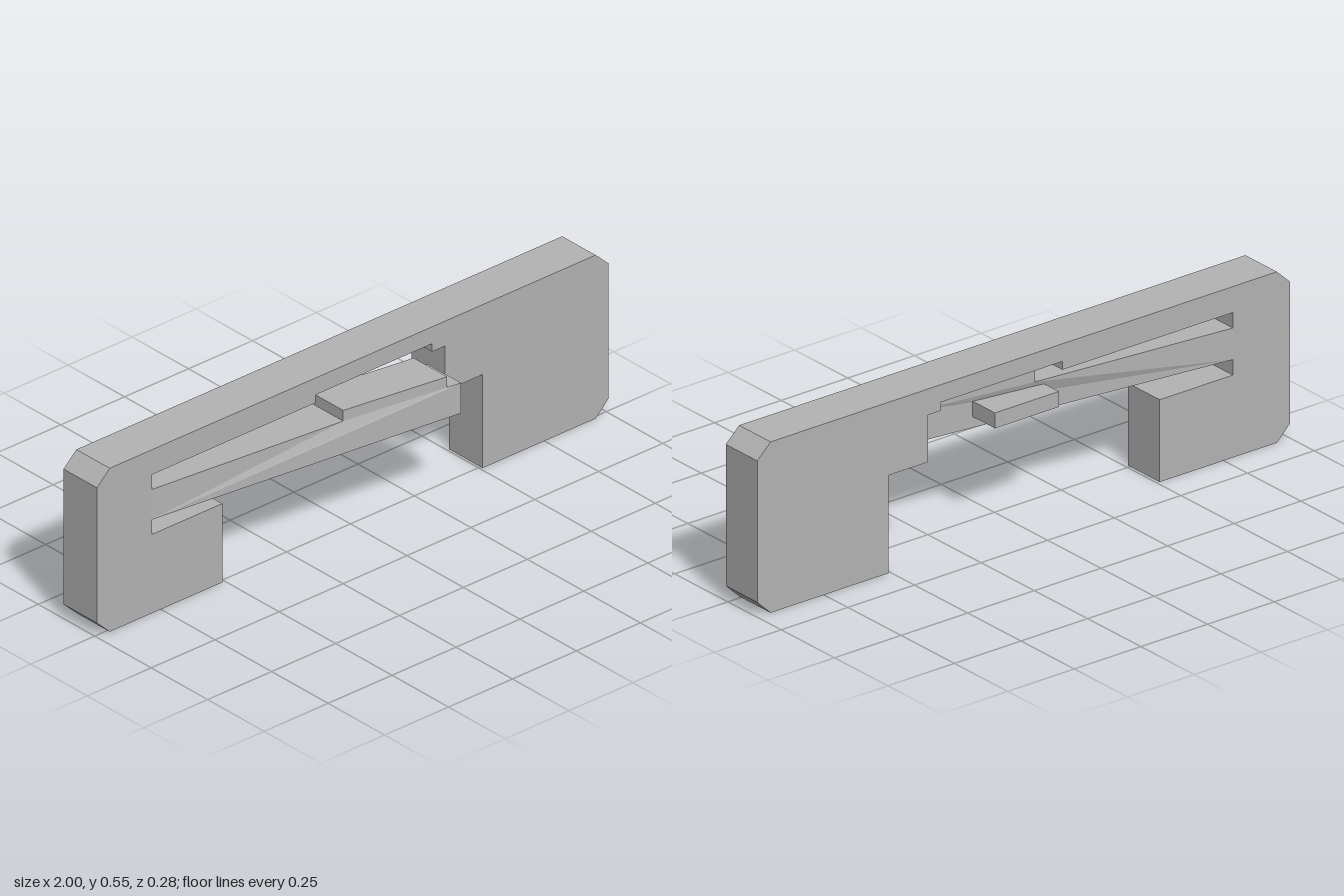
import * as THREE from 'three';

const BACK = -0.138, DEPTH = 0.148;

const plate = (points) => {
  const shape = new THREE.Shape(points.map(([x, y]) => new THREE.Vector2(x, y)));
  const geo = new THREE.ExtrudeGeometry(shape, { depth: DEPTH, bevelEnabled: false });
  return geo.translate(0, 0, BACK);
};

export function createModel() {
  const group = new THREE.Group();
  const grey = new THREE.MeshStandardMaterial({ color: 0xb3b3b3 });
  grey.name = 'plain grey';
  const add = (name, geo) => {
    const mesh = new THREE.Mesh(geo, grey);
    mesh.name = name;
    group.add(mesh);
    return mesh;
  };

  // Chamfered bridge frame with stepped slots around the lever
  add('frame', plate([
    [-0.95, 0], [-0.51, 0], [-0.51, 0.266], [-0.785, 0.266], [-0.785, 0.316],
    [-0.785, 0.418], [-0.785, 0.468], [-0.145, 0.468], [-0.145, 0.495],
    [0.31, 0.495], [0.31, 0.468], [0.36, 0.468], [0.36, 0.316], [0.508, 0.316],
    [0.508, 0], [0.95, 0], [1, 0.048], [1, 0.505], [0.95, 0.552],
    [-0.95, 0.552], [-1, 0.505], [-1, 0.048],
  ]));

  // Spring lever with a raised tab, bent forward towards its free end
  const lever = plate([
    [-0.785, 0.316], [0.31, 0.316], [0.31, 0.418], [0.262, 0.418],
    [0.262, 0.454], [-0.098, 0.454], [-0.098, 0.418], [-0.785, 0.418],
  ]);
  const pos = lever.attributes.position;
  for (let i = 0; i < pos.count; i++) {
    const t = Math.max(0, (pos.getX(i) + 0.785) / 1.095);
    pos.setZ(i, pos.getZ(i) + 0.129 * Math.pow(t, 1.35));
  }
  lever.computeVertexNormals();
  add('lever', lever);

  // Small stop block on the back of the lever
  const stop = add('stopBlock', new THREE.BoxGeometry(0.24, 0.05, 0.108));
  stop.position.set(-0.012, 0.377, BACK + 0.054);

  return group;
}
